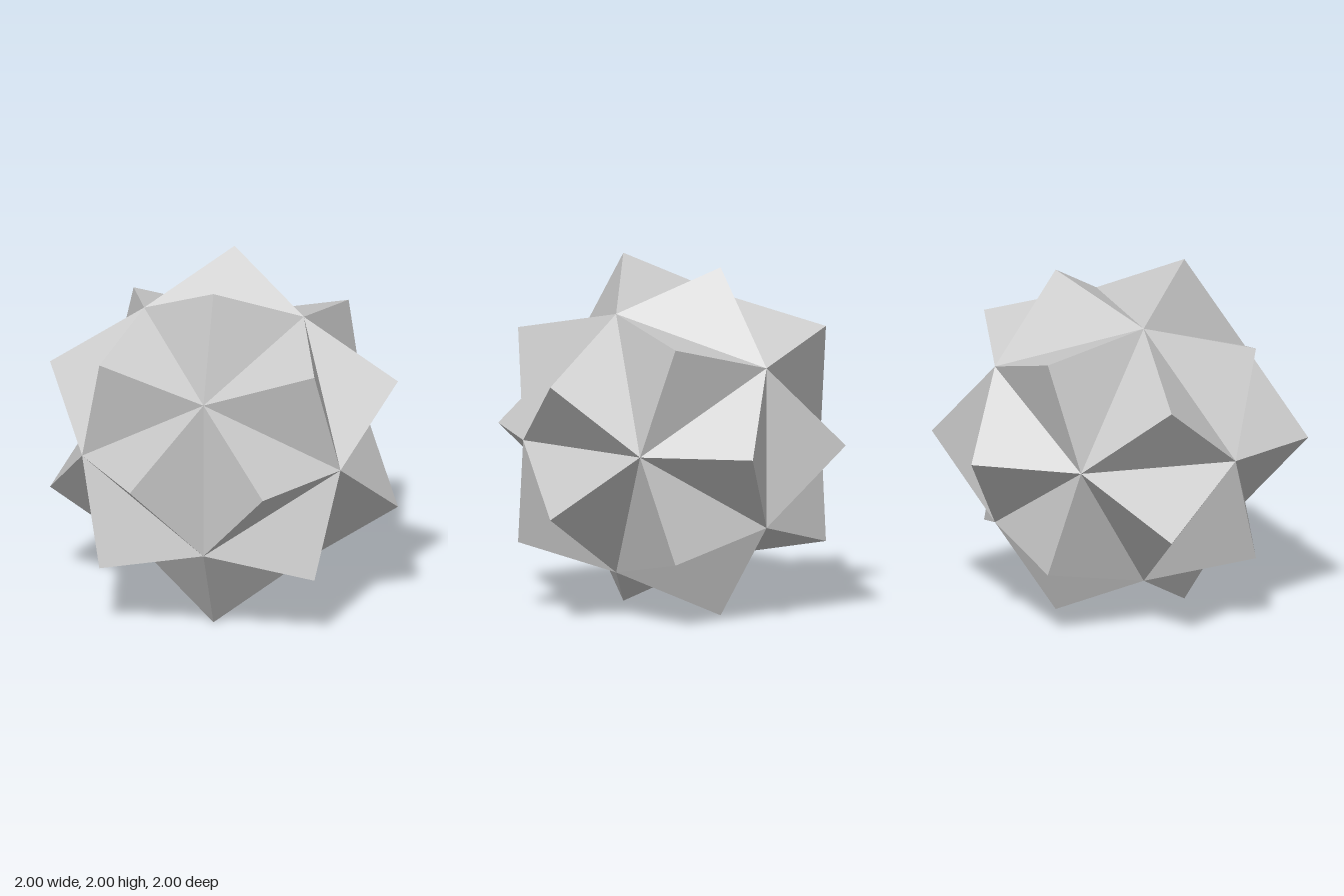
import * as THREE from 'three';

const CORE_RADIUS = 0.873;              // corners of the twenty-sided core
const TIP_RADIUS = Math.hypot(1, 0.382); // tips of the pyramids

export function createModel() {
  const group = new THREE.Group();
  group.name = 'spikedIcosahedron';

  // Raise a three-sided pyramid on every face of the core
  const core = new THREE.IcosahedronGeometry(CORE_RADIUS, 0).getAttribute('position');
  const points = [];
  for (let i = 0; i < core.count; i += 3) {
    const corners = [0, 1, 2].map((k) => new THREE.Vector3().fromBufferAttribute(core, i + k));
    const tip = new THREE.Vector3();
    corners.forEach((c) => tip.add(c));
    tip.setLength(TIP_RADIUS);
    for (let k = 0; k < 3; k++) points.push(corners[k], corners[(k + 1) % 3], tip);
  }
  const geometry = new THREE.BufferGeometry().setFromPoints(points);
  geometry.computeVertexNormals();

  const pyramids = new THREE.Mesh(
    geometry,
    new THREE.MeshStandardMaterial({ color: 0xcccccc, flatShading: true })
  );
  pyramids.name = 'facePyramids';
  pyramids.position.y = 1;
  group.add(pyramids);
  return group;
}
